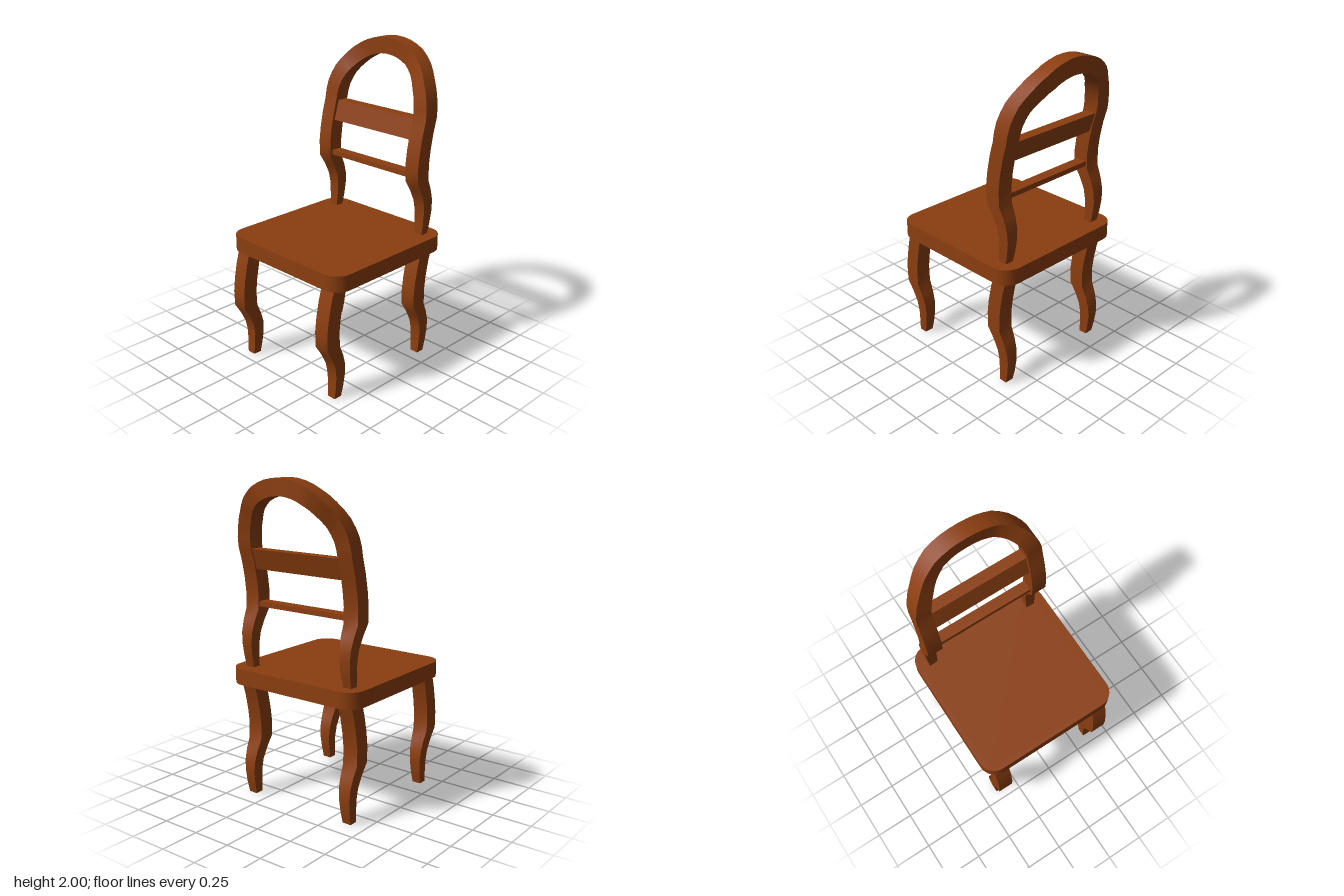
import * as THREE from 'three';
import { mergeVertices, toCreasedNormals } from 'three/addons/utils/BufferGeometryUtils.js';

const wood = new THREE.MeshStandardMaterial({ color: 0x8b3e10 });

// S-curved leg: height, z centre, half width, half depth
const LEG = [
  [0, -0.354, 0.029, 0.027], [0.07, -0.364, 0.033, 0.032], [0.15, -0.37, 0.037, 0.036],
  [0.22, -0.363, 0.041, 0.04], [0.29, -0.337, 0.045, 0.045], [0.36, -0.3, 0.05, 0.05],
  [0.46, -0.297, 0.05, 0.05], [0.55, -0.308, 0.05, 0.05], [0.65, -0.328, 0.05, 0.05],
  [0.74, -0.354, 0.05, 0.05],
];
const LEG_X = 0.372;
const SEAT_BOTTOM = 0.735, SEAT_TOP = 0.835;

// Rectangular section: centre (x, y, z), side direction (nx, ny), half width and depth
function section(x, y, z, nx, ny, hw, hd) {
  return [[1, 1], [1, -1], [-1, -1], [-1, 1]].map(([s, d]) =>
    [x + s * nx * hw, y + s * ny * hw, z + d * hd]);
}

// Skin a row of four-cornered sections and cap both ends
function loft(sections) {
  const index = [];
  const last = (sections.length - 1) * 4;
  for (let i = 0; i < last; i += 4) {
    for (let j = 0; j < 4; j++) {
      const a = i + j, b = i + (j + 1) % 4;
      index.push(a, b, b + 4, a, b + 4, a + 4);
    }
  }
  index.push(0, 2, 1, 0, 3, 2, last, last + 1, last + 2, last, last + 2, last + 3);
  const g = new THREE.BufferGeometry();
  g.setAttribute('position', new THREE.Float32BufferAttribute(sections.flat(2), 3));
  g.setIndex(index);
  return toCreasedNormals(g, 0.55);
}

function legSections(x, side, y0, dz) {
  return LEG.map(([y, z, hw, hd]) => section(x, y0 + y, z + dz, side, 0, hw, hd));
}

function seatGeometry() {
  const w = 0.477, front = 0.492, back = 0.463, r = 0.105;
  const s = new THREE.Shape();
  s.absarc(w - r, back - r, r, 0, Math.PI / 2);
  s.absarc(-w + r, back - r, r, Math.PI / 2, Math.PI);
  s.absarc(-w + r, -front + r, r, Math.PI, Math.PI * 1.5);
  s.absarc(w - r, -front + r, r, Math.PI * 1.5, Math.PI * 2);
  const g = new THREE.ExtrudeGeometry(s, {
    depth: SEAT_TOP - SEAT_BOTTOM, bevelEnabled: false, curveSegments: 4,
  });
  g.rotateX(-Math.PI / 2).translate(0, SEAT_BOTTOM, 0);
  g.deleteAttribute('normal');
  g.deleteAttribute('uv');
  return toCreasedNormals(mergeVertices(g), 0.55);
}

// Both uprights and the arch between them as one continuous frame
function backFrameGeometry() {
  const lean = [0, 0.014, 0.038, 0.077, 0.104, 0.11, 0.11]; // backward sweep every 15 degrees
  const arch = [];
  const steps = 24;
  for (let i = 1; i < steps; i++) {
    const t = Math.PI * i / steps;
    const k = Math.min(i, steps - i) / 2;
    const lo = Math.floor(k), hi = Math.ceil(k);
    const z = -0.355 - (lean[lo] + lean[hi]) / 2;
    const c = Math.cos(t), s = Math.sin(t);
    arch.push(section(LEG_X * c, 1.58 + LEG_X * s, z, c, s, 0.05, 0.051));
  }
  return loft([
    ...legSections(LEG_X, 1, SEAT_TOP, 0),
    ...arch,
    ...legSections(-LEG_X, -1, SEAT_TOP, 0).reverse(),
  ]);
}

// Slat between the uprights, leaning back by the given amount
function slatGeometry(y0, y1, z, lean) {
  return loft([
    section(0, y0, z, 1, 0, 0.33, 0.035),
    section(0, y1, z - lean, 1, 0, 0.33, 0.035),
  ]);
}

export function createModel() {
  const chair = new THREE.Group();
  chair.name = 'chair';
  const add = (name, geometry) => {
    const mesh = new THREE.Mesh(geometry, wood);
    mesh.name = name;
    chair.add(mesh);
  };

  add('seat', seatGeometry());

  // Four matching legs
  for (const [side, sx] of [['left', 1], ['right', -1]]) {
    add(side + 'FrontLeg', loft(legSections(sx * LEG_X, 1, 0, 0.764)));
    add(side + 'BackLeg', loft(legSections(sx * LEG_X, 1, 0, 0)));
  }

  // Backrest
  add('backFrame', backFrameGeometry());
  add('upperSlat', slatGeometry(1.445, 1.57, -0.322, 0.038));
  add('lowerSlat', slatGeometry(1.213, 1.245, -0.304, 0));

  return chair;
}
